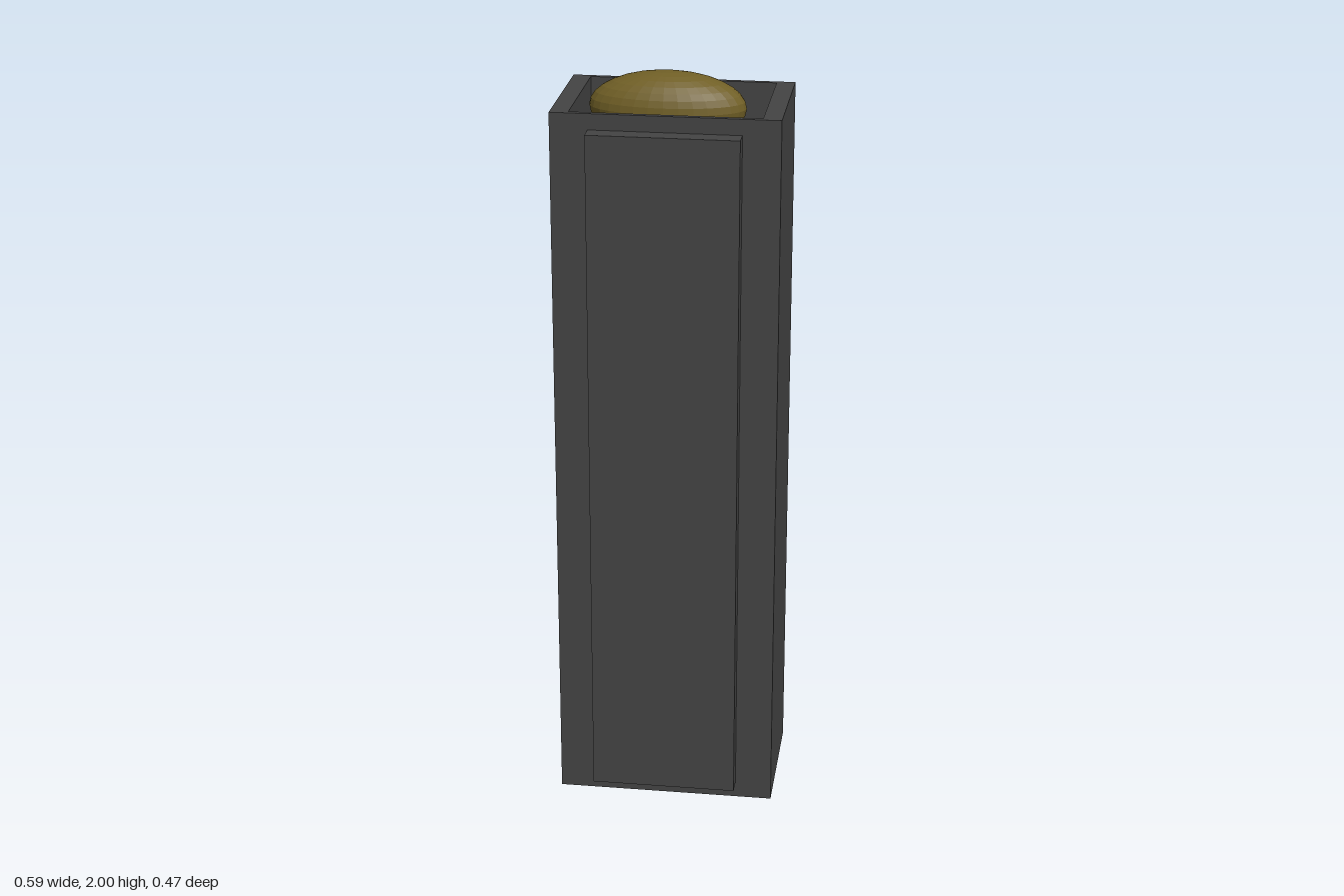
import * as THREE from 'three';

export function createModel() {
  const model = new THREE.Group();
  const darkMetal = new THREE.MeshStandardMaterial({ color: 0x444444 });
  const brass = new THREE.MeshStandardMaterial({ color: 0x705f26, flatShading: true });

  function add(name, geometry, material) {
    const mesh = new THREE.Mesh(geometry, material);
    mesh.name = name;
    model.add(mesh);
    return mesh;
  }

  // Box between two opposite corners
  function addBox(name, [x0, y0, z0], [x1, y1, z1]) {
    const mesh = add(name, new THREE.BoxGeometry(x1 - x0, y1 - y0, z1 - z0), darkMetal);
    mesh.position.set((x0 + x1) / 2, (y0 + y1) / 2, (z0 + z1) / 2);
  }

  // Rectangle in plan, drawn with y standing for -z
  function rectangle(PathType, x, zBack, zFront) {
    return new PathType().setFromPoints([
      new THREE.Vector2(-x, -zFront), new THREE.Vector2(x, -zFront),
      new THREE.Vector2(x, -zBack), new THREE.Vector2(-x, -zBack),
      new THREE.Vector2(-x, -zFront),
    ]);
  }

  // Hollow casing, open at the top
  const floorHeight = 0.05;
  const topHeight = 1.937;
  const plan = rectangle(THREE.Shape, 0.293, -0.184, 0.187);
  plan.holes.push(rectangle(THREE.Path, 0.245, -0.17, 0.173));
  const walls = new THREE.ExtrudeGeometry(plan, { depth: topHeight, bevelEnabled: false });
  walls.rotateX(-Math.PI / 2);
  add('casingWalls', walls, darkMetal);
  addBox('casingFloor', [-0.245, 0, -0.17], [0.245, floorHeight, 0.173]);

  // Raised panels on the two wide sides
  addBox('frontPanel', [-0.195, 0.045, 0.187], [0.195, 1.895, 0.235]);
  addBox('backPanel', [-0.215, 0.036, -0.237], [0.215, 1.902, -0.184]);

  // Rounded brass piece held in the mouth of the casing
  const round = new THREE.SphereGeometry(1, 32, 16);
  round.scale(0.204, 0.093, 0.093);
  add('brassRound', round, brass).position.set(-0.02, 1.907, -0.017);

  return model;
}
